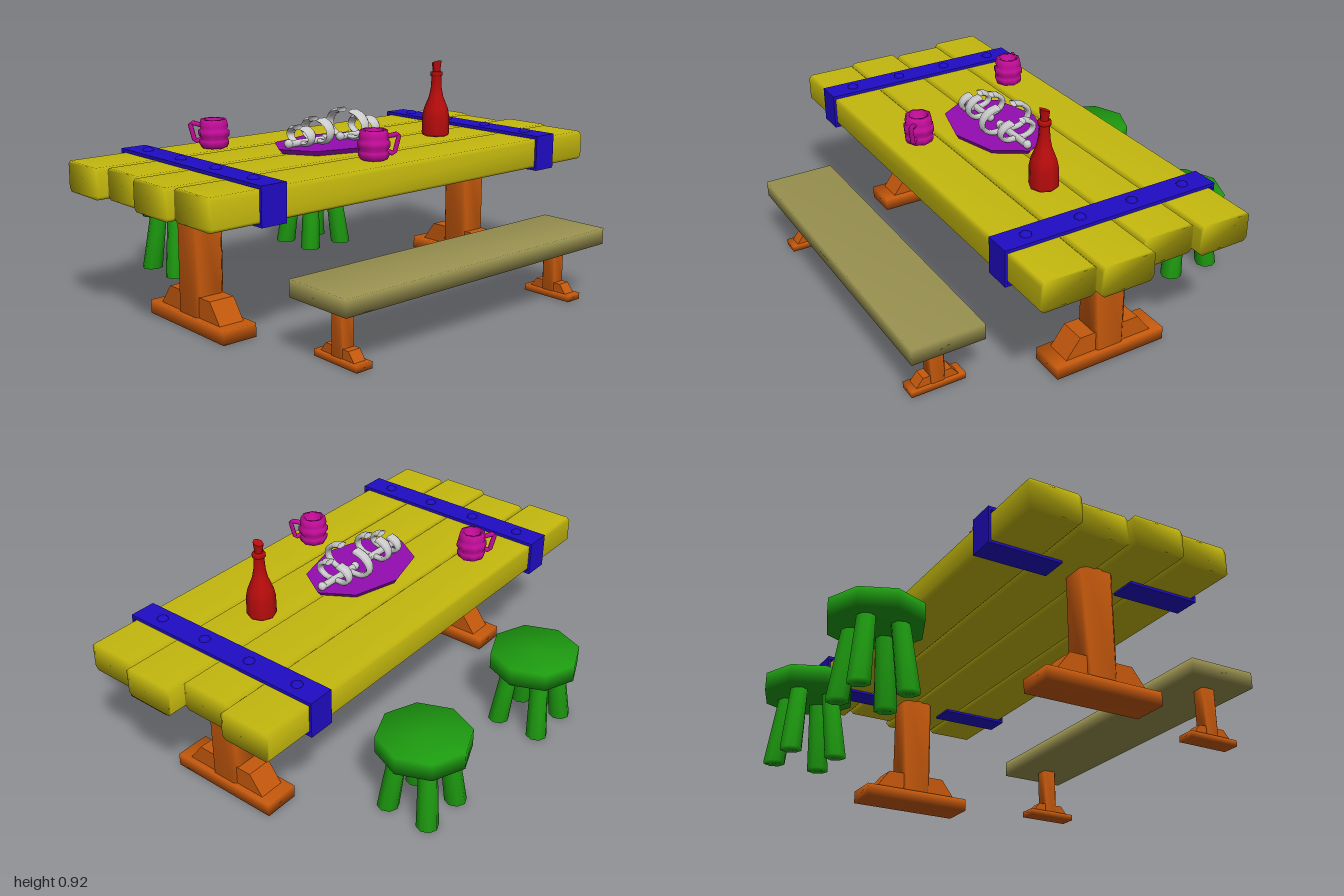
import * as THREE from 'three';
import { mergeVertices } from 'three/addons/utils/BufferGeometryUtils.js';

const mat = (color) => new THREE.MeshStandardMaterial({ color, side: THREE.DoubleSide });
const WOOD = mat(0xc4b80e), ORANGE = mat(0xc4580c), IRON = mat(0x1f0cc4), GREEN = mat(0x1d9a10);
const BENCH = mat(0x999150), RED = mat(0xb80c0c), PINK = mat(0xc40c9a), PURPLE = mat(0x930cb0), BONE = mat(0xbdbdbd);

// Weld corners so that normals are shared and the low-poly forms shade softly
function soften(geo) {
  geo.deleteAttribute('uv');
  geo.deleteAttribute('normal');
  const g = mergeVertices(geo, 1e-4);
  g.computeVertexNormals();
  return g;
}

function add(parent, name, geo, material, x = 0, y = 0, z = 0) {
  const m = new THREE.Mesh(geo, material);
  m.name = name;
  m.position.set(x, y, z);
  parent.add(m);
  return m;
}

// Extrude an outline of [x, y] points, centred along z
function prism(points, depth) {
  const shape = new THREE.Shape(points.map(([x, y]) => new THREE.Vector2(x, y)));
  return new THREE.ExtrudeGeometry(shape, { depth, bevelEnabled: false }).translate(0, 0, -depth / 2);
}

// Beam along z with chamfered long edges
function beam(w, h, d, c) {
  const a = w / 2, b = h / 2;
  return soften(prism([[-a + c, -b], [a - c, -b], [a, -b + c], [a, b - c],
    [a - c, b], [-a + c, b], [-a, b - c], [-a, -b + c]], d));
}

// Post on a foot with a sloped brace
function trestle(parent, name, x, z, o) {
  const g = new THREE.Group();
  g.name = name;
  g.position.set(x, 0, z);
  parent.add(g);
  add(g, 'foot', soften(new THREE.BoxGeometry(o.footW, o.footH, o.footD)), ORANGE, 0, o.footH / 2);
  add(g, 'brace', prism([[-o.braceLow, o.footH], [o.braceLow, o.footH],
    [o.braceTop, o.braceH], [-o.braceTop, o.braceH]], o.postD * 0.84), ORANGE);
  const h = o.top - o.footH;
  add(g, 'post', beam(o.postW, o.postD, h, o.postW * 0.13).rotateX(Math.PI / 2), ORANGE, 0, o.footH + h / 2);
}

function stool(parent, x, z) {
  const g = new THREE.Group();
  g.name = 'stool';
  g.position.set(x, 0, z);
  parent.add(g);
  add(g, 'stoolSeat', soften(new THREE.CylinderGeometry(0.184, 0.184, 0.075, 8)), GREEN, 0, 0.2975);
  for (const sx of [-1, 1]) for (const sz of [-1, 1]) {
    const leg = new THREE.CylinderGeometry(0.036, 0.044, 0.265, 8);
    // Shear the leg outward towards the floor
    const p = leg.attributes.position;
    for (let i = 0; i < p.count; i++) {
      const t = 0.5 - p.getY(i) / 0.265;
      p.setX(i, p.getX(i) + sx * (0.066 + 0.026 * t));
      p.setZ(i, p.getZ(i) + sz * (0.066 + 0.026 * t));
    }
    add(g, 'stoolLeg', soften(leg), GREEN, 0, 0.1325);
  }
}

function lathe(profile, sides = 8) {
  return new THREE.LatheGeometry(profile.map(([r, y]) => new THREE.Vector2(r, y)), sides);
}

// Hollow barrel mug whose handle points along the given angle
function mug(parent, x, z, angle) {
  const g = new THREE.Group();
  g.name = 'mug';
  g.position.set(x, 0.6, z);
  g.rotation.y = angle;
  parent.add(g);
  add(g, 'mugBody', lathe([[0, 0.002], [0.052, 0.002], [0.06, 0.018], [0.06, 0.032], [0.053, 0.037],
    [0.063, 0.052], [0.063, 0.07], [0.053, 0.077], [0.058, 0.087], [0.052, 0.115],
    [0.037, 0.115], [0.034, 0.06], [0, 0.06]]), PINK);
  const path = new THREE.CatmullRomCurve3([[0.048, 0.035], [0.076, 0.025], [0.086, 0.06], [0.094, 0.1], [0.05, 0.09]]
    .map(([a, b]) => new THREE.Vector3(a, b, 0)), false, 'catmullrom', 0.2);
  add(g, 'mugHandle', new THREE.TubeGeometry(path, 12, 0.01, 6), PINK);
}

// Rib curling up and inward, flattened and wider at its tip
function rib(parent, side, z, width, height) {
  const pts = [[0, 0], [0.6, 0.02], [0.95, 0.28], [0.98, 0.58], [0.72, 0.88], [0.32, 1]]
    .map(([a, b]) => new THREE.Vector3(side * a * width, b * height, 0));
  const geo = new THREE.TubeGeometry(new THREE.CatmullRomCurve3(pts), 14, 0.011, 6);
  const p = geo.attributes.position;
  for (let i = 0; i < p.count; i++) p.setZ(i, p.getZ(i) * (1.3 + 1.2 * p.getY(i) / height));
  geo.computeVertexNormals();
  add(parent, 'rib', geo, BONE, 0, 0.632, z);
}

export function createModel() {
  const root = new THREE.Group();
  root.name = 'tavernTable';

  // Table top: four planks of uneven length
  [[-0.97, 1], [-0.93, 0.96], [-1, 0.985], [-0.97, 0.96]].forEach(([z0, z1], i) => {
    add(root, 'plank', beam(0.22, 0.12, z1 - z0, 0.014), WOOD, -0.29 + 0.22 * i, 0.54, (z0 + z1) / 2);
  });

  // Iron straps wrapped round the planks, with rivets
  const strap = [[-0.11, 0.47], [-0.41, 0.47], [-0.41, 0.615], [0.49, 0.615], [0.49, 0.47], [0.19, 0.47],
    [0.19, 0.48], [0.48, 0.48], [0.48, 0.602], [-0.4, 0.602], [-0.4, 0.48], [-0.11, 0.48]];
  for (const s of [-1, 1]) {
    add(root, 'strap', prism(strap, 0.108), IRON, 0, 0, s * 0.713);
    for (const x of [-0.3, -0.072, 0.152, 0.376]) {
      add(root, 'rivet', new THREE.SphereGeometry(0.023, 8, 4, 0, Math.PI * 2, 0, Math.PI / 2).scale(1, 0.65, 1),
        IRON, x, 0.614, s * 0.713);
    }
    trestle(root, 'tableLeg', 0.04, s * 0.713, { footW: 0.48, footH: 0.053, footD: 0.145, braceLow: 0.19,
      braceTop: 0.13, braceH: 0.132, postW: 0.136, postD: 0.126, top: 0.485 });
    trestle(root, 'benchLeg', 0.67, s * 0.565, { footW: 0.22, footH: 0.025, footD: 0.072, braceLow: 0.086,
      braceTop: 0.058, braceH: 0.06, postW: 0.062, postD: 0.062, top: 0.225 });
  }

  // Bench and stools
  add(root, 'benchSeat', soften(new THREE.BoxGeometry(0.292, 0.065, 1.37)), BENCH, 0.67, 0.252, -0.005);
  stool(root, -0.6, -0.36);
  stool(root, -0.635, 0.36);

  // Bottle with a slanted cork
  add(root, 'bottle', lathe([[0, 0], [0.054, 0], [0.058, 0.01], [0.057, 0.08], [0.05, 0.115], [0.03, 0.165],
    [0.023, 0.2], [0.02, 0.25], [0.026, 0.252], [0.026, 0.268], [0.018, 0.27], [0, 0.27]]), RED, 0.125, 0.6, -0.435);
  const cork = new THREE.CylinderGeometry(0.02, 0.015, 0.045, 8);
  const cp = cork.attributes.position;
  for (let i = 0; i < cp.count; i++) if (cp.getY(i) > 0) cp.setY(i, cp.getY(i) + cp.getX(i) * 0.35);
  cork.computeVertexNormals();
  add(root, 'cork', cork, RED, 0.125, 0.888, -0.435);

  // Mugs
  mug(root, -0.25, 0.44, -Math.PI * 0.75);
  mug(root, 0.35, 0.13, Math.PI * 0.25);

  // Platter with two racks of ribs
  const meal = new THREE.Group();
  meal.name = 'meal';
  meal.position.set(0.037, 0, 0.065);
  root.add(meal);
  add(meal, 'platter', new THREE.CylinderGeometry(1, 0.93, 0.02, 8).scale(0.182, 1, 0.273), PURPLE, 0, 0.61);
  for (const [z0, z1] of [[-0.245, -0.04], [0.04, 0.225]]) {
    add(meal, 'spine', new THREE.CylinderGeometry(0.014, 0.014, z1 - z0, 8).rotateX(Math.PI / 2),
      BONE, 0, 0.634, (z0 + z1) / 2);
    for (const z of [z0, z1]) add(meal, 'spineKnob', new THREE.SphereGeometry(0.018, 8, 6), BONE, 0, 0.636, z);
  }
  for (const [z, w, h] of [[-0.168, 0.075, 0.07], [-0.08, 0.108, 0.105], [0.078, 0.08, 0.085], [0.162, 0.066, 0.06]]) {
    for (const side of [-1, 1]) rib(meal, side, z, w, h);
  }
  return root;
}
